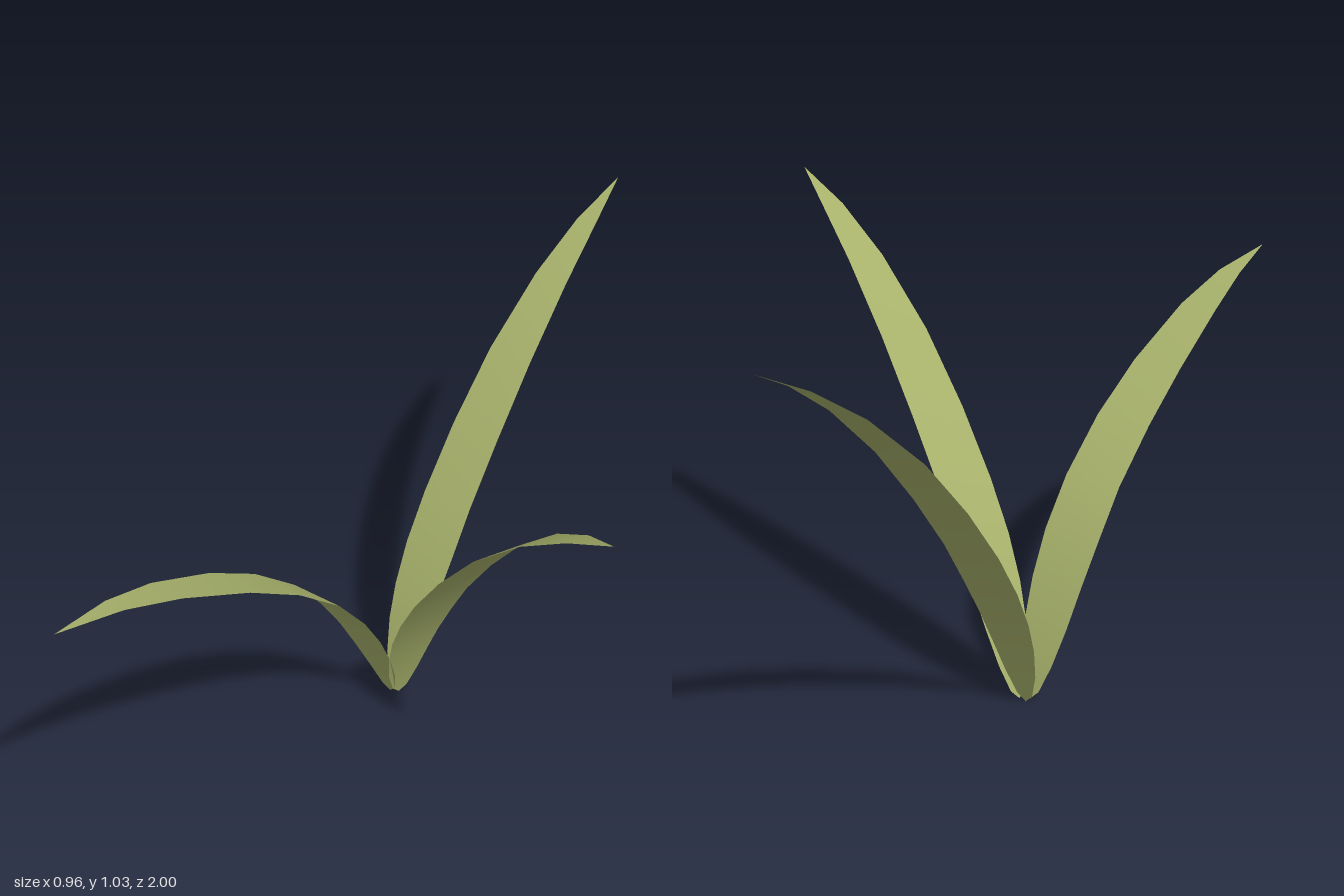
import * as THREE from 'three';

// Half width of a blade at each cross-section, root to tip
const HALF_WIDTHS = [0, 0.02, 0.04, 0.055, 0.064, 0.07, 0.07, 0.068, 0.061, 0.046, 0.027, 0];

// Centre lines as [reach, height]
const UPRIGHT = [[0, 0], [0.006, 0.02], [0.026, 0.08], [0.058, 0.16], [0.097, 0.24], [0.154, 0.335],
  [0.23, 0.445], [0.346, 0.585], [0.49, 0.735], [0.66, 0.875], [0.81, 0.97], [0.945, 1.035]];
const DROOPING = [[0, 0], [0.006, 0.02], [0.026, 0.08], [0.06, 0.16], [0.105, 0.25], [0.165, 0.345],
  [0.25, 0.45], [0.38, 0.56], [0.53, 0.655], [0.72, 0.748], [0.87, 0.8], [1.04, 0.83]];

// Flat curved strip that grows along +z, pointed at both ends
function bladeGeometry(line) {
  const positions = [];
  const index = [];
  line.forEach(([reach, height], i) => {
    const w = HALF_WIDTHS[i];
    positions.push(-w, height, reach, w, height, reach);
    if (i === 0) return;
    const a = 2 * (i - 1), b = a + 1, c = a + 2, d = a + 3;
    if (i > 1) index.push(a, d, b);
    if (i < line.length - 1) index.push(a, c, d);
  });
  // The root and tip rows each close to a single point
  const last = 2 * (line.length - 1);
  positions.splice(3 * (last + 1), 3);
  index.forEach((v, k) => { if (v === last + 1) index[k] = last; });
  const geometry = new THREE.BufferGeometry();
  geometry.setAttribute('position', new THREE.Float32BufferAttribute(positions, 3));
  // Shared root vertex
  geometry.setIndex(index.map((v) => (v === 1 ? 0 : v)));
  geometry.computeVertexNormals();
  return geometry;
}

export function createModel() {
  const group = new THREE.Group();
  group.name = 'grassTuft';
  const leafGreen = new THREE.MeshStandardMaterial({ color: 0xa6b06a, side: THREE.DoubleSide });
  leafGreen.name = 'leafGreen';

  // Name, centre line, root x, root z, heading around y
  const blades = [
    ['frontBlade', DROOPING, -0.415, -0.04, 0],
    ['backBlade', UPRIGHT, -0.415, -0.055, Math.PI],
    ['sideBlade', UPRIGHT, -0.395, -0.05, Math.atan2(0.88, 0.36)],
  ];
  for (const [name, line, x, z, heading] of blades) {
    const blade = new THREE.Mesh(bladeGeometry(line), leafGreen);
    blade.name = name;
    blade.position.set(x, 0, z);
    blade.rotation.y = heading;
    group.add(blade);
  }
  return group;
}
